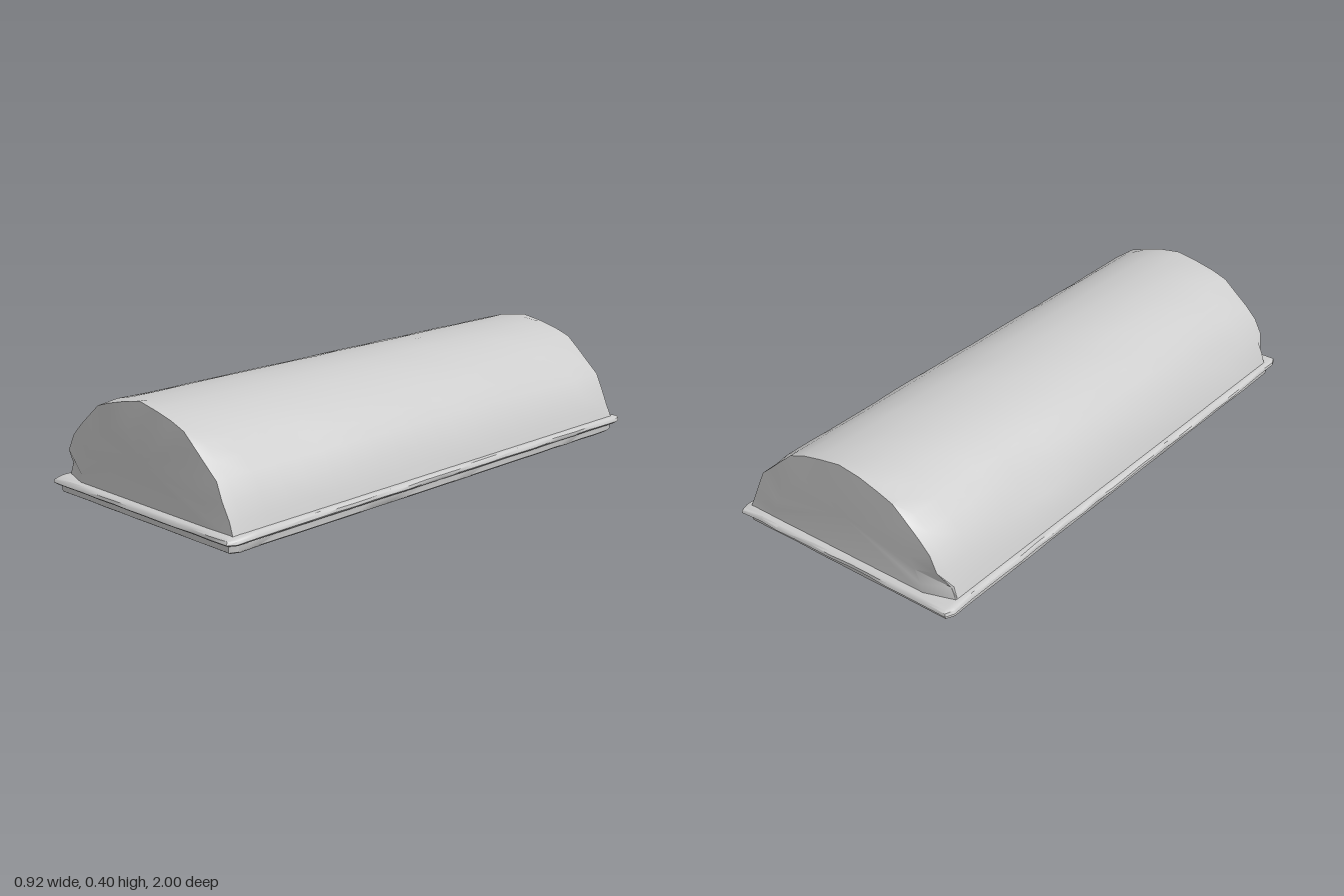
import * as THREE from 'three';
import { toCreasedNormals } from 'three/addons/utils/BufferGeometryUtils.js';

const material = new THREE.MeshStandardMaterial({ color: 0xcccccc });

// Small seeded noise in 0..1
function makeNoise(seed) {
  return () => {
    seed = (seed * 16807) % 2147483647;
    return seed / 2147483647;
  };
}

// Closed skin through rings of equal length, capped at both ends
function loft(name, rings, crease) {
  const pos = [], idx = [], n = rings[0].length;
  rings.forEach(r => r.forEach(p => pos.push(p.x, p.y, p.z)));
  for (let k = 0; k < rings.length - 1; k++) {
    for (let i = 0; i < n; i++) {
      const j = (i + 1) % n, a = k * n + i, b = k * n + j;
      idx.push(a, b, b + n, a, b + n, a + n);
    }
  }
  [rings[0], rings[rings.length - 1]].forEach((ring, end) => {
    const c = new THREE.Vector3();
    ring.forEach(p => c.addScaledVector(p, 1 / n));
    const ci = pos.length / 3, o = end ? (rings.length - 1) * n : 0;
    pos.push(c.x, c.y, c.z);
    for (let i = 0; i < n; i++) {
      const a = o + i, b = o + (i + 1) % n;
      if (end) idx.push(ci, a, b);
      else idx.push(ci, b, a);
    }
  });
  const g = new THREE.BufferGeometry();
  g.setAttribute('position', new THREE.Float32BufferAttribute(pos, 3));
  g.setIndex(idx);
  const mesh = new THREE.Mesh(toCreasedNormals(g, crease), material);
  mesh.name = name;
  return mesh;
}

// Barrel-shaped top with worn ends and shallow gouges
function makeVault() {
  const noise = makeNoise(71);
  const half = [[0.438, 0.05], [0.425, 0.1], [0.398, 0.16], [0.365, 0.215], [0.325, 0.262],
    [0.275, 0.307], [0.22, 0.342], [0.16, 0.37], [0.085, 0.39]];
  const profile = [...half, [0, 0.397], ...half.slice().reverse().map(([x, y]) => [-x, y])];
  const last = profile.length - 1;
  // Gouges: x, z, half length, depth
  const gouges = [[-0.36, -0.45, 0.14, 0.008], [-0.22, -0.75, 0.16, 0.005], [0.32, -0.75, 0.2, 0.01],
    [0.14, -0.2, 0.16, 0.004], [-0.24, 0.35, 0.16, 0.006], [0.31, 0.6, 0.22, 0.008],
    [-0.38, 0.68, 0.16, 0.007]];

  const section = z => profile.map(([x, y], i) => {
    let cut = noise() * 0.003;
    gouges.forEach(([gx, gz, len, d]) => {
      cut += d * Math.exp(-(((x - gx) / 0.035) ** 2) - ((z - gz) / len) ** 2);
    });
    if (i === 0 || i === last) cut = 0;
    const s = 1 - cut / 0.4;
    return new THREE.Vector3(x * s, y * s, z);
  });

  // Chipped end outline, with the corner on the right side broken back
  const rim = side => profile.map(([x, y], i) => {
    const chip = i > 0 && i < last && i % 3 ? 0.985 - noise() * 0.012 : 0.998;
    const back = i >= last - 1 ? 0.035 : noise() * 0.006;
    return new THREE.Vector3(x * chip, y * chip, side * (0.966 - back));
  });
  const face = side => profile.map(([x, y]) =>
    new THREE.Vector3(x * 0.76, 0.05 + (y - 0.05) * 0.76, side * 0.966));

  const body = [];
  for (let k = 0; k <= 18; k++) body.push(section(-0.925 + 1.85 * k / 18));
  return loft('vaultedTop', [face(-1), rim(-1), ...body, rim(1), face(1)], 0.5);
}

// Rectangular slab stacked from layers of [y, half width, half depth, wear]
function makeSlab(name, layers, seed) {
  const noise = makeNoise(seed);
  const outline = [];
  const edge = (x0, z0, x1, z1, n) => {
    for (let i = 0; i < n; i++) {
      const t = 0.015 + 0.97 * i / (n - 1);
      outline.push([x0 + (x1 - x0) * t, z0 + (z1 - z0) * t]);
    }
  };
  edge(1, 1, 1, -1, 24);
  edge(1, -1, -1, -1, 12);
  edge(-1, -1, -1, 1, 24);
  edge(-1, 1, 1, 1, 12);
  const wear = outline.map(() => noise());
  const rings = layers.map(([y, w, d, amount]) => outline.map(([x, z], i) => {
    const cut = amount * (0.7 * wear[i] + 0.3 * noise());
    return new THREE.Vector3(x * (w - cut), y, z * (d - cut));
  }));
  return loft(name, rings, 0.7);
}

export function createModel() {
  const group = new THREE.Group();
  group.name = 'vaultedBlock';
  group.add(makeVault());
  // Projecting rounded lip
  group.add(makeSlab('lip', [
    [0.028, 0.442, 0.972, 0], [0.032, 0.454, 0.99, 0.006], [0.039, 0.462, 1, 0.008],
    [0.05, 0.461, 0.998, 0.009], [0.056, 0.454, 0.99, 0.008], [0.058, 0.435, 0.965, 0],
  ], 13));
  // Recessed foot below the lip
  group.add(makeSlab('foot', [
    [0, 0.434, 0.964, 0.004], [0.006, 0.441, 0.974, 0.004], [0.03, 0.443, 0.976, 0.003],
  ], 29));
  return group;
}
